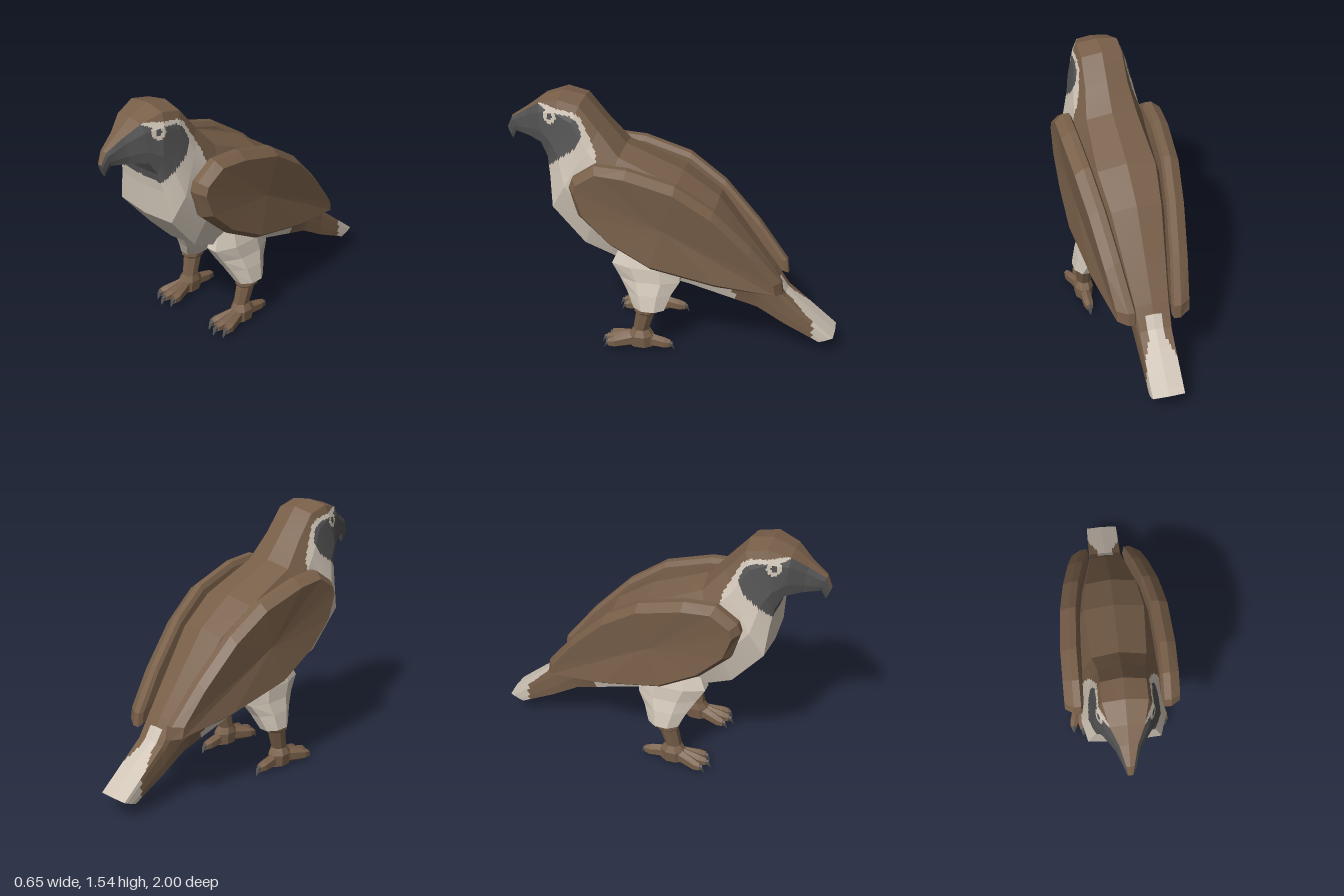
import * as THREE from 'three';

const mat = (name, color) => {
  const m = new THREE.MeshStandardMaterial({ color, flatShading: true });
  m.name = name;
  return m;
};

const V = (x, y, z) => new THREE.Vector3(x, y, z);

function meshFrom(name, tris, material) {
  const g = new THREE.BufferGeometry().setFromPoints(tris);
  g.computeVertexNormals();
  const m = new THREE.Mesh(g, material);
  m.name = name;
  return m;
}

// closed skin through rings of equal length, turned outward by its signed volume
function loft(name, rings, material) {
  const t = [], n = rings[0].length;
  for (let r = 0; r + 1 < rings.length; r++)
    for (let i = 0; i < n; i++) {
      const j = (i + 1) % n, a = rings[r], b = rings[r + 1];
      t.push(a[i], a[j], b[i], a[j], b[j], b[i]);
    }
  for (const [ring, flip] of [[rings[0], true], [rings[rings.length - 1], false]]) {
    const c = ring.reduce((s, p) => s.add(p), V(0, 0, 0)).divideScalar(n);
    for (let i = 0; i < n; i++) {
      const p = ring[i], q = ring[(i + 1) % n];
      t.push(c, flip ? q : p, flip ? p : q);
    }
  }
  let vol = 0;
  for (let i = 0; i < t.length; i += 3) vol += t[i].dot(V(0, 0, 0).crossVectors(t[i + 1], t[i + 2]));
  if (vol < 0) for (let i = 0; i < t.length; i += 3) [t[i + 1], t[i + 2]] = [t[i + 2], t[i + 1]];
  return meshFrom(name, t, material);
}

// elliptical ring, lying flat for legs or upright for toes
const oval = (n, cx, cy, cz, rx, r2, upright) => Array.from({ length: n }, (_, i) => {
  const a = (i + 0.5) / n * Math.PI * 2, c = Math.cos(a) * rx, s = Math.sin(a) * r2;
  return upright ? V(cx + c, cy + s, cz) : V(cx + c, cy, cz + s);
});

const inside = (poly, z, y) => {
  let hit = false;
  poly.forEach(([z1, y1], i) => {
    const [z2, y2] = poly[(i + 1) % poly.length];
    if ((y1 > y) !== (y2 > y) && z < (z2 - z1) * (y - y1) / (y2 - y1) + z1) hit = !hit;
  });
  return hit;
};

// body stations, beak to tail: top z,y, bottom z,y, then four half widths from back to belly
const STATIONS = [
  [1, 1.29, 0.97, 1.21, 0.014, 0.018, 0.016, 0.008],
  [0.97, 1.36, 0.945, 1.27, 0.022, 0.034, 0.034, 0.028],
  [0.87, 1.43, 0.85, 1.262, 0.05, 0.065, 0.075, 0.07],
  [0.78, 1.5, 0.76, 1.25, 0.095, 0.12, 0.135, 0.13],
  [0.65, 1.545, 0.72, 1.17, 0.125, 0.155, 0.175, 0.15],
  [0.52, 1.52, 0.705, 1.06, 0.125, 0.165, 0.195, 0.175],
  [0.4, 1.38, 0.69, 0.87, 0.13, 0.19, 0.24, 0.21],
  [0.28, 1.24, 0.5, 0.64, 0.155, 0.22, 0.235, 0.19],
  [-0.06, 1.1, 0.08, 0.43, 0.175, 0.225, 0.2, 0.12],
  [-0.28, 0.95, -0.12, 0.385, 0.15, 0.19, 0.17, 0.11],
  [-0.62, 0.5, -0.53, 0.28, 0.1, 0.115, 0.11, 0.1],
  [-0.7, 0.375, -0.7, 0.18, 0.095, 0.1, 0.1, 0.095],
  [-1, 0.12, -0.91, 0.08, 0.095, 0.098, 0.098, 0.095],
];
// side outlines of the dark face and the pale underside
const MASK = [[1.1, 1.6], [0.8, 1.49], [0.74, 1.465], [0.58, 1.442], [0.53, 1.405],
  [0.505, 1.33], [0.53, 1.27], [0.71, 1.13], [1.1, 1.1]];
const PALE = [[0.8, 1.5], [0.56, 1.462], [0.515, 1.43], [0.42, 1.24], [0.4, 1.1],
  [-0.39, 0.5], [-0.4, 0.2], [1, 0.2], [1, 1.15]];

// plumage colour at a point; col counts from the back (0) to the belly (4)
function plumage(p, col) {
  const x = Math.abs(p.x);
  if (p.z < -0.87) return 'cream';
  if (col === 0) return p.z < -0.65 && x < 0.045 + Math.max(0, -0.73 - p.z) * 0.5 ? 'cream' : 'brown';
  if (col === 4 && p.z < -0.63 - x * x * 20) return 'cream';
  const eye = Math.hypot(p.z - 0.7, p.y - 1.43);
  if (eye < 0.018) return 'dark';
  if (eye < 0.042) return 'cream';
  if (inside(MASK, p.z, p.y)) return 'dark';
  return inside(PALE, p.z, p.y) ? 'cream' : 'brown';
}

function buildBody(mats) {
  const N = 12, bins = { brown: [], cream: [], dark: [] }, heights = [0.05, 0.25, 0.68, 0.97];
  const rings = STATIONS.map(([tz, ty, bz, by, ...widths]) => {
    const at = (x, t) => V(x, ty + (by - ty) * t, tz + (bz - tz) * t);
    const left = widths.map((w, i) => at(w, heights[i]));
    const right = widths.map((w, i) => at(-w, heights[i])).reverse();
    return [at(0, 0), ...left, at(0, 1), ...right];
  });
  // each panel is divided finely so the colour borders follow the plumage
  for (let s = 0; s + 1 < rings.length; s++)
    for (let c = 0; c < 10; c++) {
      const d = (c + 1) % 10, A = rings[s], B = rings[s + 1];
      const pt = (u, v) => A[c].clone().lerp(A[d], u / N).lerp(B[c].clone().lerp(B[d], u / N), v / N);
      for (let u = 0; u < N; u++)
        for (let v = 0; v < N; v++) {
          const a = pt(u, v), b = pt(u + 1, v), e = pt(u, v + 1), f = pt(u + 1, v + 1);
          const key = plumage(a.clone().add(f).multiplyScalar(0.5), c < 5 ? c : 9 - c);
          bins[key].push(a, b, e, b, f, e);
        }
    }
  // beak tip and tail end
  const cap = (ring, bin, flip) => {
    for (let i = 1; i < 9; i++) bin.push(ring[0], ring[flip ? i + 1 : i], ring[flip ? i : i + 1]);
  };
  cap(rings[0], bins.dark, true);
  cap(rings[rings.length - 1], bins.cream, false);
  const g = new THREE.Group();
  g.name = 'body';
  g.add(meshFrom('brownPlumage', bins.brown, mats.brown), meshFrom('paleBreastAndTailTip', bins.cream, mats.cream),
    meshFrom('faceMaskAndBeak', bins.dark, mats.dark));
  return g;
}

function buildWing(s, mats) {
  const outline = [[0.56, 1.05], [0.54, 1.11], [0.41, 1.2], [0.22, 1.19], [-0.06, 1.11], [-0.28, 0.96],
    [-0.5, 0.73], [-0.68, 0.5], [-0.69, 0.42], [-0.3, 0.465], [0.08, 0.565], [0.32, 0.7], [0.51, 0.88]];
  // the rear of the wing folds in toward the tail
  const mid = z => 0.28 - 0.12 * Math.pow(Math.max(0, (0.15 - z) / 0.84), 1.5);
  // the bevel is an even inset toward the long axis of the wing
  const layer = (inset, dx) => outline.map(([z, y]) => {
    const az = THREE.MathUtils.clamp(z, -0.5, 0.3), ay = 0.95 + (az - 0.3) * 0.55;
    const k = inset / Math.hypot(az - z, ay - y), zz = z + (az - z) * k;
    return V(s * (mid(zz) + dx), y + (ay - y) * k, zz);
  });
  return loft(s > 0 ? 'leftWing' : 'rightWing',
    [layer(0.03, -0.06), layer(0, -0.045), layer(0, -0.005), layer(0.04, 0.047)], mats.brown);
}

function buildLeg(s, mats) {
  const g = new THREE.Group();
  g.name = s > 0 ? 'leftLeg' : 'rightLeg';
  // each ring: x, y, z, half width, half depth
  const limb = (name, rows, material) =>
    g.add(loft(name, rows.map(([x, y, z, rx, rz]) => oval(8, s * x, y, z, rx, rz)), material));
  limb('thigh', [[0.14, 0.64, 0.13, 0.075, 0.17], [0.16, 0.54, 0.125, 0.09, 0.225],
    [0.17, 0.455, 0.1, 0.092, 0.195], [0.195, 0.38, 0.1, 0.092, 0.145],
    [0.235, 0.285, 0.095, 0.073, 0.1]], mats.cream);
  limb('shank', [[0.235, 0.3, 0.1, 0.066, 0.085], [0.235, 0.262, 0.115, 0.064, 0.075],
    [0.232, 0.25, 0.12, 0.054, 0.06], [0.225, 0.13, 0.15, 0.046, 0.05],
    [0.23, 0.09, 0.15, 0.062, 0.08], [0.23, 0.02, 0.15, 0.055, 0.08]], mats.brown);
  // three front toes and a hind toe, each with a hooked claw
  for (const [spread, dir, len] of [[-1, 1, 0.18], [0, 1, 0.2], [1, 1, 0.18], [0, -1, 0.17]]) {
    const ring = (f, y, rx, ry) =>
      oval(6, s * (0.23 + spread * 0.06 * Math.min(1, f)), y, 0.15 + dir * len * f, rx, ry, true);
    g.add(loft('toe', [ring(0, 0.065, 0.035, 0.052), ring(0.5, 0.052, 0.034, 0.042),
      ring(0.85, 0.043, 0.033, 0.036), ring(1.06, 0.04, 0.022, 0.026)], mats.brown));
    g.add(loft('claw', [ring(0.95, 0.045, 0.016, 0.02), ring(1.14, 0.036, 0.014, 0.018),
      ring(1.2, 0.006, 0.005, 0.006)], mats.dark));
  }
  return g;
}

export function createModel() {
  const mats = {
    brown: mat('brown feather', 0x785f49),
    cream: mat('cream feather', 0xcfc4b6),
    dark: mat('dark grey', 0x525252),
  };
  const model = new THREE.Group();
  model.name = 'bird';
  model.add(buildBody(mats));
  for (const s of [1, -1]) model.add(buildWing(s, mats), buildLeg(s, mats));
  return model;
}
